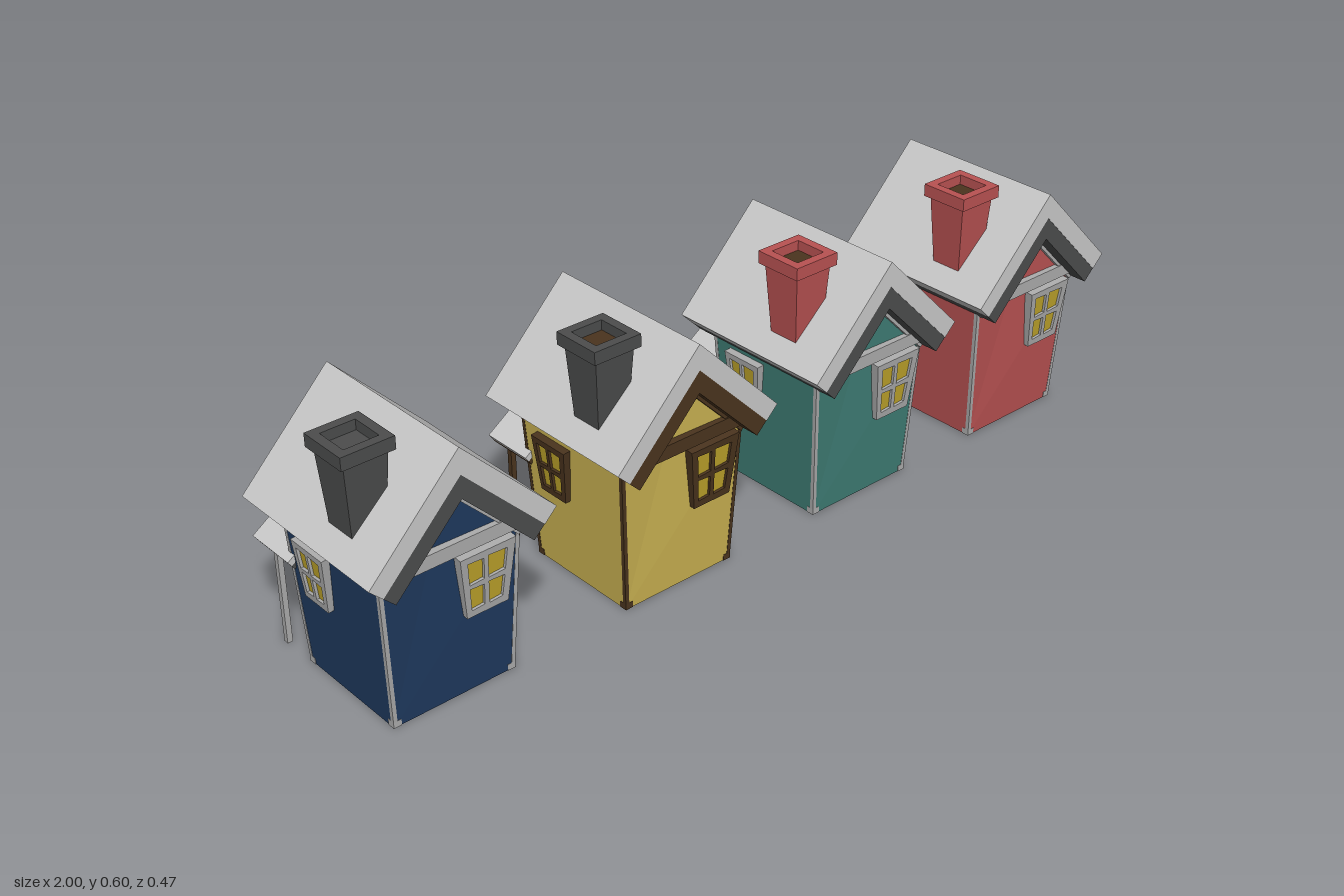
import * as THREE from 'three';

const mat = (name, color) => {
  const m = new THREE.MeshStandardMaterial({ color });
  m.name = name;
  return m;
};
const M = {
  navy: mat('navy', 0x1f3a5f), yellow: mat('yellow', 0xcbb352), teal: mat('teal', 0x3f7d75),
  red: mat('red', 0xb95252), roof: mat('lightGrey', 0xc9c9c9), trim: mat('trimGrey', 0xacacac),
  dark: mat('darkGrey', 0x4c4d4d), brown: mat('darkBrown', 0x4a341e),
  glass: mat('glassYellow', 0xc0a52b), door: mat('doorBrown', 0x73594c),
};

const Z0 = 0.0255;                       // depth centre of the house body
const WALL = 0.14, LEAN = 0.053;         // half width at the ground, flare per unit of height
const half = (y) => WALL + LEAN * Math.min(y, 0.32);

function add(parent, name, geo, material, x = 0, y = 0, z = 0) {
  const m = new THREE.Mesh(geo, material);
  m.name = name;
  m.position.set(x, y, z);
  parent.add(m);
  return m;
}
const poly = (pts, Kind = THREE.Shape) => new Kind(pts.map(([x, y]) => new THREE.Vector2(x, y)));
const extrude = (shape, depth) => new THREE.ExtrudeGeometry(shape, { depth, bevelEnabled: false });

// Move every vertex by a rule and refresh the normals
function bend(geo, rule) {
  const p = geo.attributes.position, v = new THREE.Vector3();
  for (let i = 0; i < p.count; i++) {
    rule(v.fromBufferAttribute(p, i));
    p.setXYZ(i, v.x, v.y, v.z);
  }
  geo.computeVertexNormals();
  return geo;
}

// One layer of a pitched roof; returns the apex and half width of the layer below it
function roofLayer(parent, name, material, top, drop, slope, z1, z2) {
  const ey = top.apex - top.hw * slope;
  const hw = top.hw - drop * slope, apex = ey - drop + hw * slope;
  const shape = poly([[0, top.apex], [-top.hw, ey], [-hw, ey - drop], [0, apex], [hw, ey - drop], [top.hw, ey]]);
  add(parent, name, extrude(shape, z2 - z1), material, top.x || 0, 0, z1);
  return { apex, hw, x: top.x };
}

// Crooked four-pane window, wider at the top
function windowUnit(trim) {
  const g = new THREE.Group();
  g.name = 'window';
  const outline = [[-0.039, -0.063], [0.039, -0.063], [0.052, 0.063], [-0.052, 0.063]];
  const frame = poly(outline);
  const edges = { left: [[-0.030, -0.038], [-0.006, -0.008]], right: [[0.003, 0.000], [0.028, 0.036]] };
  for (const [a, b] of Object.values(edges))
    for (const [y0, y1] of [[-0.05, -0.004], [0.004, 0.05]]) {
      const at = ([lo, hi], y) => lo + (hi - lo) * (y + 0.05) / 0.1;
      frame.holes.push(poly([[at(a, y0), y0], [at(a, y1), y1], [at(b, y1), y1 - 0.002], [at(b, y0), y0 + 0.002]], THREE.Path));
    }
  add(g, 'windowFrame', extrude(frame, 0.02), trim);
  add(g, 'windowPanes', extrude(poly(outline.map(([x, y]) => [x * 0.95, y * 0.95])), 0.004), M.glass, 0, 0, 0.01);
  return g;
}

// Place a part on the wall facing the given turn, leaning with the wall
function onWall(house, part, turn, along, y, out) {
  const side = new THREE.Group();
  side.name = part.name + 'Mount';
  side.position.z = Z0;
  side.rotation.y = turn;
  part.position.set(along, y, out);
  side.add(part);
  house.add(side);
  return part;
}

function chimney(house, material, inside) {
  const g = new THREE.Group();
  g.name = 'chimney';
  g.position.set(-0.13, 0, 0.091);
  const shaft = new THREE.BoxGeometry(1, 0.17, 1).toNonIndexed();
  add(g, 'chimneyShaft', bend(shaft, (v) => {
    const w = v.y > 0 ? 0.094 : 0.072;
    v.x *= w; v.z *= w;
  }), material, 0, 0.485, 0);
  const sq = (r) => [[-r, -r], [r, -r], [r, r], [-r, r]];
  const ring = poly(sq(0.057));
  ring.holes.push(poly(sq(0.037).reverse(), THREE.Path));
  add(g, 'chimneyCap', extrude(ring, 0.028).rotateX(-Math.PI / 2), material, 0, 0.57, 0);
  add(g, 'chimneyOpening', new THREE.BoxGeometry(0.074, 0.004, 0.074), inside, 0, 0.574, 0);
  house.add(g);
}

function porch(house, trim, under) {
  const g = new THREE.Group();
  g.name = 'porch';
  g.position.x = -0.061;
  let layer = { apex: 0.318, hw: 0.108 };
  layer = roofLayer(g, 'porchRoof', M.roof, layer, 0.011, 0.694, -0.234, -0.11);
  roofLayer(g, 'porchRoofUnderside', under, layer, 0.009, 0.694, -0.232, -0.11);
  for (const s of [-1, 1])
    add(g, 'porchPost', new THREE.BoxGeometry(0.012, 0.24, 0.012), trim, s * 0.078, 0.12, -0.198);
  house.add(g);
}

function buildHouse({ x, wall, trim, under, stack, inside }) {
  const house = new THREE.Group();
  house.name = 'house';
  house.position.x = x;

  // Flared walls with gables
  const t = half(0.32);
  const walls = extrude(poly([[-WALL, 0], [WALL, 0], [t, 0.325], [0, 0.485], [-t, 0.325]]), 1);
  add(house, 'walls', bend(walls, (v) => { v.z = (v.z > 0.5 ? 1 : -1) * half(v.y); }), wall, 0, 0, Z0);

  // Corner boards and their feet
  for (const sx of [-1, 1]) for (const sz of [-1, 1]) {
    const board = new THREE.BoxGeometry(0.009, 0.33, 0.009).toNonIndexed().translate(0, 0.165, 0);
    add(house, 'cornerBoard', bend(board, (v) => {
      v.x += sx * (half(v.y) - 0.0037);
      v.z += sz * (half(v.y) - 0.0037);
    }), trim, 0, 0, Z0);
    add(house, 'cornerFoot', new THREE.BoxGeometry(0.018, 0.014, 0.018), trim,
      sx * (WALL - 0.0075), 0.007, Z0 + sz * (WALL - 0.0075));
  }

  // Main roof: pale top, darker underside
  let layer = { apex: 0.583, hw: 0.207 };
  layer = roofLayer(house, 'roofTop', M.roof, layer, 0.028, 1.014, -0.183, 0.233);
  layer = roofLayer(house, 'roofUnderside', under, layer, 0.025, 1.014, -0.181, 0.232);

  // Gable beam and rake boards, front and back
  for (const s of [-1, 1]) {
    const z = Z0 + s * (t + 0.002);
    add(house, 'gableBeam', new THREE.BoxGeometry(0.31, 0.03, 0.02), trim, 0, 0.346, z);
    roofLayer(house, 'rakeBoard', trim, layer, 0.005, 1.014, z - 0.007, z + 0.007);
  }

  // Windows: front, back, two on the left side, one on the right side
  const q = Math.PI / 2;
  const places = [[0, 0.072, 1.22], [2 * q, -0.072, 1], [q, -0.061, 1], [q, 0.068, 1], [-q, -0.055, 1]];
  for (const [turn, along, size] of places) {
    const w = onWall(house, windowUnit(trim), turn, along, 0.2525, 0.148);
    w.scale.set(size, size > 1 ? 1.13 : 1, 1);
    w.rotation.x = 0.09;
  }

  // Back door with frame
  const door = new THREE.Group();
  door.name = 'door';
  add(door, 'doorPanel', new THREE.BoxGeometry(0.094, 0.22, 0.012), M.door);
  for (const s of [-1, 1])
    add(door, 'doorJamb', new THREE.BoxGeometry(0.008, 0.225, 0.018), trim, s * 0.05, 0.002, 0);
  add(door, 'doorHead', new THREE.BoxGeometry(0.108, 0.01, 0.018), trim, 0, 0.115, 0);
  onWall(house, door, 2 * q, 0.061, 0.118, half(0.118)).rotation.x = LEAN;

  porch(house, trim, under);
  chimney(house, stack, inside);
  return house;
}

export function createModel() {
  const model = new THREE.Group();
  model.name = 'cottageRow';
  const row = [
    { x: -0.793, wall: M.navy, trim: M.trim, under: M.dark, stack: M.dark, inside: M.dark },
    { x: -0.232, wall: M.yellow, trim: M.brown, under: M.brown, stack: M.dark, inside: M.brown },
    { x: 0.293, wall: M.teal, trim: M.trim, under: M.dark, stack: M.red, inside: M.brown },
    { x: 0.79, wall: M.red, trim: M.trim, under: M.dark, stack: M.red, inside: M.brown },
  ];
  for (const spec of row) model.add(buildHouse(spec));
  return model;
}
